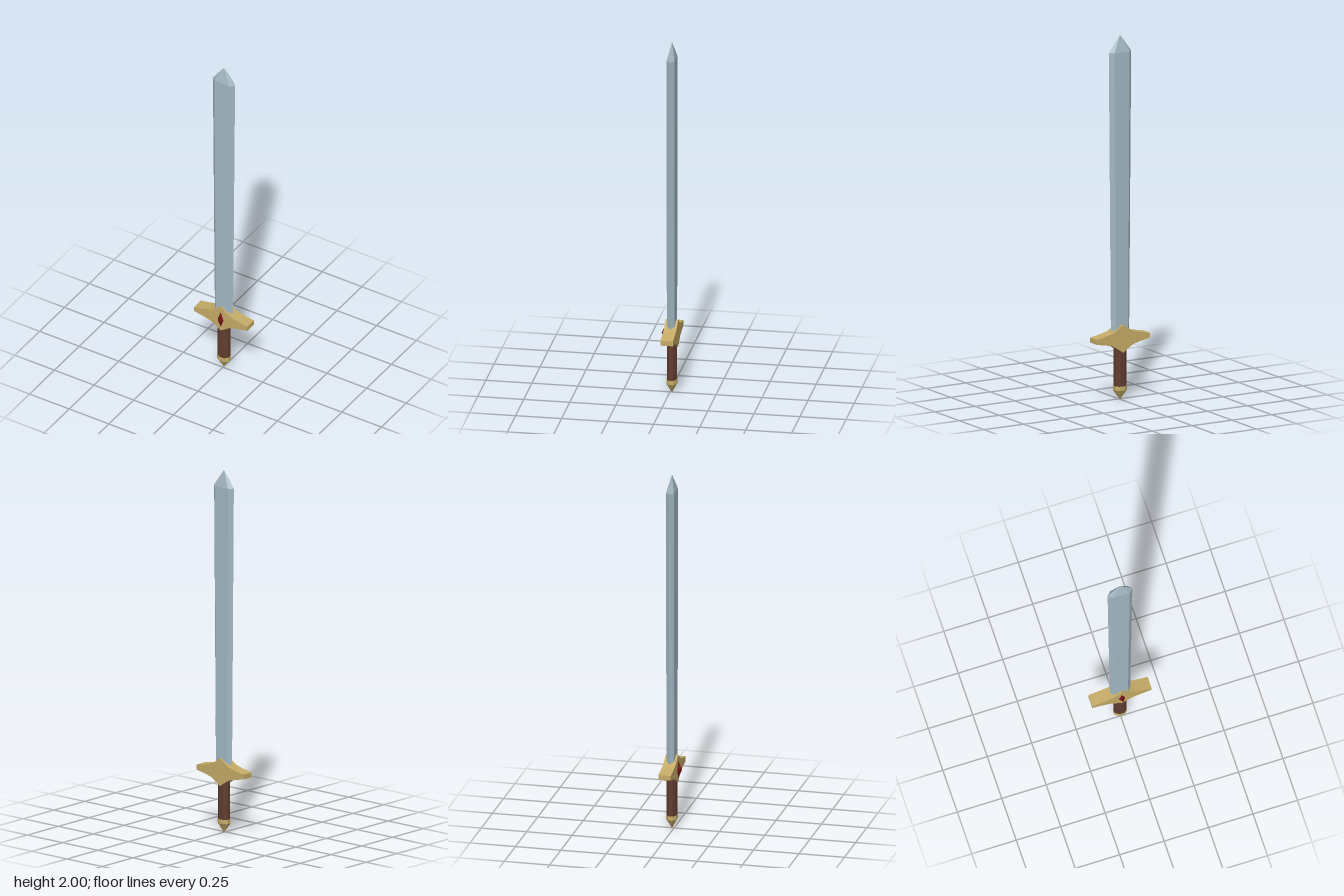
import * as THREE from 'three';
import { toCreasedNormals } from 'three/addons/utils/BufferGeometryUtils.js';

const mat = (color, flatShading = true) => new THREE.MeshStandardMaterial({ color, flatShading });
const MID_Z = -0.011;

// Closed, faceted solid from counterclockwise cross-section loops stacked upwards.
function loft(sections) {
  const n = sections[0].length;
  const pos = sections.flat(2);
  const idx = [];
  for (let s = 0; s < sections.length - 1; s++) {
    for (let i = 0; i < n; i++) {
      const a = s * n + i, b = s * n + (i + 1) % n;
      idx.push(a, b, a + n, b, b + n, a + n);
    }
  }
  const top = (sections.length - 1) * n;
  for (let i = 1; i < n - 1; i++) {
    idx.push(0, i + 1, i, top, top + i, top + i + 1);
  }
  const g = new THREE.BufferGeometry();
  g.setAttribute('position', new THREE.Float32BufferAttribute(pos, 3));
  g.setIndex(idx);
  const flat = g.toNonIndexed();
  flat.computeVertexNormals();
  return flat;
}

// Flattened hexagon: sharp left and right edges, flat front and back
const bladeSection = (y, edge, flat, depth) => [
  [edge, y, 0], [flat, y, -depth], [-flat, y, -depth],
  [-edge, y, 0], [-flat, y, depth], [flat, y, depth],
];

// Octagon with its flats facing the axes
const octagon = (y, rx, rz) => Array.from({ length: 8 }, (_, i) => {
  const a = (i + 0.5) * Math.PI / 4, k = 1 / Math.cos(Math.PI / 8);
  return [Math.cos(a) * rx * k, y, -Math.sin(a) * rz * k];
});

export function createModel() {
  const sword = new THREE.Group();
  sword.name = 'sword';
  const add = (name, geometry, material, z = MID_Z) => {
    const mesh = new THREE.Mesh(geometry, material);
    mesh.name = name;
    mesh.position.z = z;
    sword.add(mesh);
  };
  const steel = mat(0xa3b7c2), leather = mat(0x603c2f), ruby = mat(0x741114);
  const gold = mat(0xc4aa66), smoothGold = mat(0xc4aa66, false);

  // Blade widens slightly towards the shoulders, then comes to a point
  add('blade', loft([
    bladeSection(0.32, 0.057, 0.038, 0.0215),
    bladeSection(1.907, 0.07, 0.047, 0.0215),
    bladeSection(2, 0, 0, 0),
  ]), steel);

  // Crossguard: one quarter of the outline, mirrored both ways
  const quarter = [[0, 0.077], [0.03, 0.056], [0.06, 0.037], [0.105, 0.025], [0.167, 0.0135]];
  const upper = [...quarter.slice(1).reverse(), ...quarter.map(([x, y]) => [-x, y])];
  const outline = [...upper, ...upper.map(([x, y]) => [-x, -y])];
  const guard = new THREE.ExtrudeGeometry(
    new THREE.Shape(outline.map(([x, y]) => new THREE.Vector2(x, y))),
    { depth: 0.068, bevelEnabled: false });
  guard.translate(0, 0.338, -0.034);
  add('crossguard', toCreasedNormals(guard, 0.6), smoothGold);

  // Diamond gem set in the front of the guard
  const gem = new THREE.OctahedronGeometry(1);
  gem.scale(0.018, 0.048, 0.022);
  gem.translate(0, 0.334, 0);
  add('gem', gem, ruby, 0.023);

  // Grip and pommel
  add('grip', loft([octagon(0.06, 0.034, 0.026), octagon(0.3, 0.034, 0.026)]), leather);
  add('pommel', loft([
    octagon(0, 0.001, 0.001), octagon(0.052, 0.036, 0.028), octagon(0.075, 0.036, 0.028),
  ]), gold);

  return sword;
}
